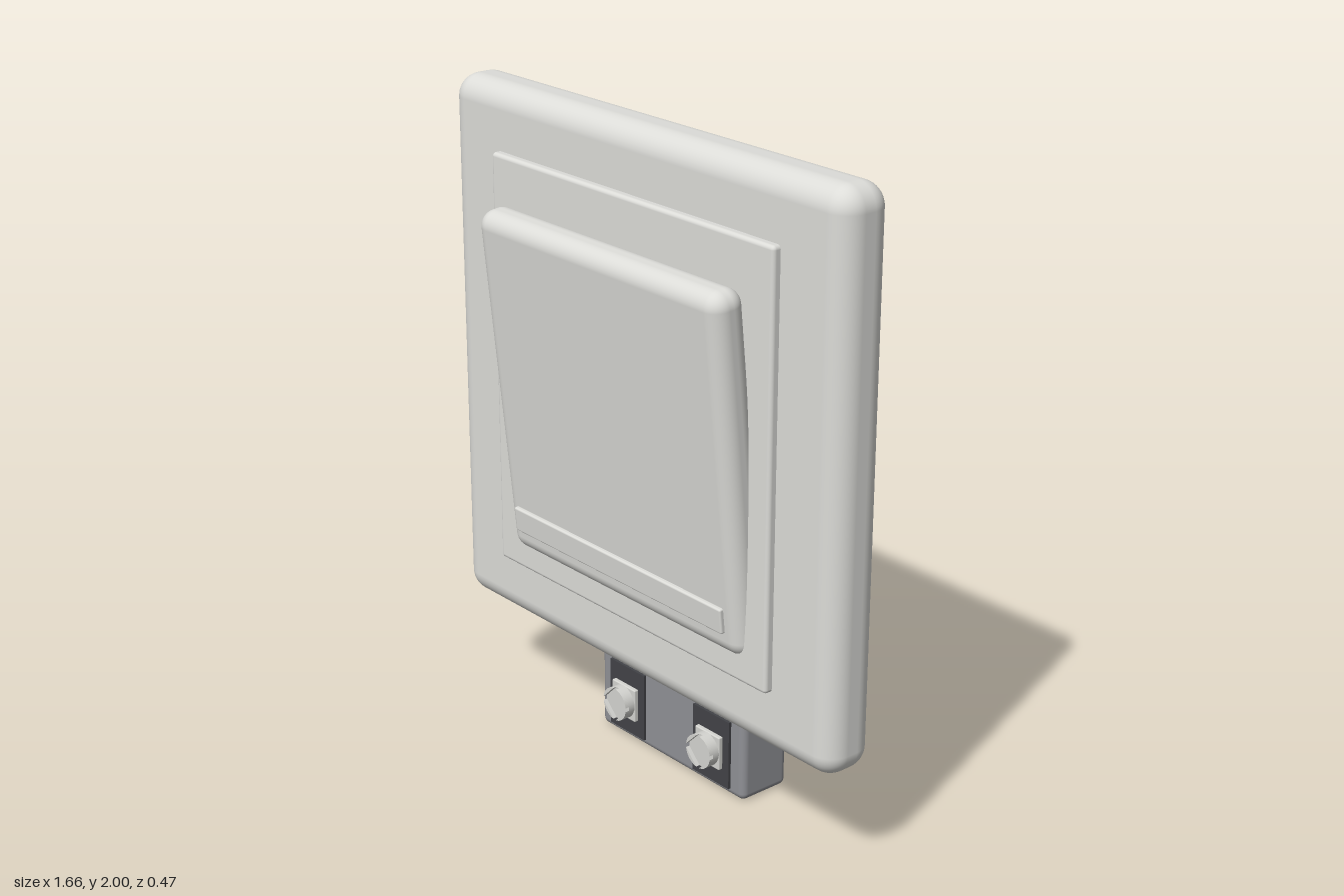
import * as THREE from 'three';
import { RoundedBoxGeometry } from 'three/addons/geometries/RoundedBoxGeometry.js';

const material = (name, color) => {
  const m = new THREE.MeshStandardMaterial({ color });
  m.name = name;
  return m;
};

export function createModel() {
  const group = new THREE.Group();
  const ivory = material('switch plastic', 0xdcdcd8);
  const grey = material('terminal grey', 0x909196);
  const dark = material('contact recess', 0x424347);
  const metal = material('screw metal', 0xd4d4d0);

  const add = (parent, name, geometry, mat, x, y, z) => {
    const mesh = new THREE.Mesh(geometry, mat);
    mesh.name = name;
    mesh.position.set(x, y, z);
    parent.add(mesh);
    return mesh;
  };
  const rounded = (w, h, d, r, segments = 5) => new RoundedBoxGeometry(w, h, d, segments, r);

  // Wall plate and raised inner frame
  add(group, 'wallPlate', rounded(1.664, 1.665, 0.175, 0.07, 6), ivory, 0, 1.1675, 0.0025);
  add(group, 'innerFrame', rounded(1.2, 1.28, 0.075, 0.012, 3), ivory, 0, 1.17, 0.0775);

  // Rocker, leaning out at the top, with its indicator strip
  const rocker = new THREE.Group();
  rocker.name = 'rocker';
  rocker.position.set(0, 1.143, 0.13);
  rocker.rotation.x = 0.103;
  group.add(rocker);
  add(rocker, 'rockerPaddle', rounded(1.042, 1.085, 0.115, 0.05, 6), ivory, 0, 0, 0);
  add(rocker, 'indicatorStrip', rounded(0.93, 0.078, 0.03, 0.006, 3), ivory, -0.005, -0.427, 0.055);

  // Terminal block below the plate
  add(group, 'terminalBlock', rounded(0.655, 0.27, 0.175, 0.022, 4), grey, -0.002, 0.14, -0.1475);

  // One quarter of the screw head; four of them leave a cross slot
  const quarter = new THREE.Shape();
  quarter.moveTo(0.006, 0.006);
  quarter.absarc(0, 0, 0.053, 0.12, Math.PI / 2 - 0.12, false);
  quarter.closePath();
  const quarterGeometry = new THREE.ExtrudeGeometry(quarter, {
    depth: 0.014, bevelEnabled: false, curveSegments: 8,
  });

  for (const [side, x] of [['right', -0.196], ['left', 0.191]]) {
    add(group, side + 'Recess', new THREE.BoxGeometry(0.16, 0.22, 0.009), dark, x, 0.14, -0.0555);

    const screw = new THREE.Group();
    screw.name = side + 'Screw';
    screw.position.set(x, 0.14, 0);
    group.add(screw);
    add(screw, 'clampPlate', rounded(0.108, 0.108, 0.016, 0.004, 2), metal, 0, 0, -0.044);
    const head = add(screw, 'screwHead', new THREE.CylinderGeometry(0.053, 0.053, 0.023, 28), metal, 0, 0, -0.0255);
    head.rotation.x = Math.PI / 2;
    for (let i = 0; i < 4; i++) {
      const piece = add(screw, 'headQuarter', quarterGeometry, metal, 0, 0, -0.015);
      piece.rotation.z = i * Math.PI / 2;
    }
  }

  // Thin wire ends under the plate
  const wire = (name, points) => {
    for (let i = 0; i + 1 < points.length; i++) {
      const path = new THREE.LineCurve3(points[i], points[i + 1]);
      add(group, name, new THREE.TubeGeometry(path, 1, 0.002, 6), dark, 0, 0, 0);
    }
  };
  const v = (x, y) => new THREE.Vector3(x, y, -0.06);
  wire('rightWire', [v(-0.205, 0.37), v(-0.205, 0.306), v(-0.186, 0.306)]);
  wire('leftWire', [v(0.194, 0.37), v(0.194, 0.306)]);

  return group;
}
